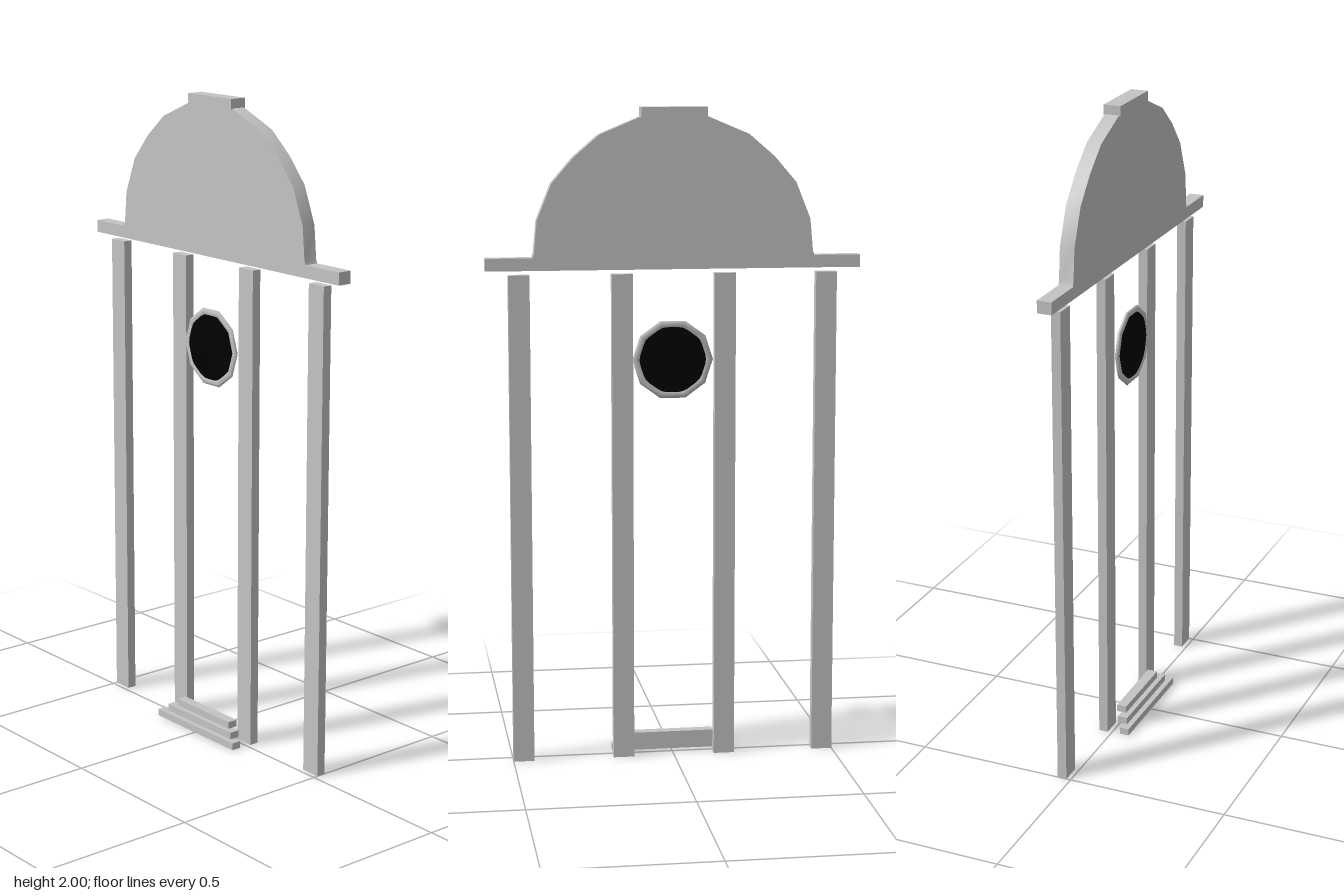
import * as THREE from 'three';
import { toCreasedNormals } from 'three/addons/utils/BufferGeometryUtils.js';

export function createModel() {
  const model = new THREE.Group();
  model.name = 'classicalPortico';

  const stone = new THREE.MeshStandardMaterial({ color: 0xc4c4c4 });
  stone.name = 'pale grey stone';
  const dark = new THREE.MeshStandardMaterial({ color: 0x000000 });
  dark.name = 'black glass';

  const add = (name, geometry, material = stone) => {
    const mesh = new THREE.Mesh(geometry, material);
    mesh.name = name;
    model.add(mesh);
    return mesh;
  };

  // Box given by half width in x, and its limits in y and z
  const block = (name, cx, halfW, y0, y1, z0, z1) => {
    const mesh = add(name, new THREE.BoxGeometry(2 * halfW, y1 - y0, z1 - z0));
    mesh.position.set(cx, (y0 + y1) / 2, (z0 + z1) / 2);
  };

  // Four flat pillars, mirrored about the centre
  for (const side of [-1, 1]) {
    block('innerPillar', side * 0.157, 0.032, 0, 1.503, -0.043, -0.014);
    block('outerPillar', side * 0.468, 0.032, 0, 1.503, -0.043, -0.014);
  }

  // Three overlapping entrance steps
  const steps = [[0.185, 0.026, 0.056], [0.156, 0.008, 0.039], [0.127, -0.009, 0.023]];
  steps.forEach(([halfW, z0, z1], i) =>
    block('step', 0, halfW, i * 0.022, (i + 1) * 0.022, z0, z1));

  // Arched gable and its ledge, in one outline
  const half = [
    [0.569, 1.517], [0.569, 1.555], [0.428, 1.555], [0.423, 1.567], [0.414, 1.665],
    [0.37, 1.775], [0.304, 1.852], [0.226, 1.919], [0.1, 1.972],
  ];
  const outline = [...half, ...half.map(([x, y]) => [-x, y]).reverse()];
  const gableShape = new THREE.Shape(outline.map(([x, y]) => new THREE.Vector2(x, y)));
  const gable = new THREE.ExtrudeGeometry(gableShape, { depth: 0.045, bevelEnabled: false });
  gable.translate(0, 0, -0.053);
  add('archedGable', toCreasedNormals(gable, 0.6));

  // Cap block on the crown of the arch
  block('capBlock', 0, 0.1, 1.969, 2, -0.056, -0.003);

  // Round window: flattened ten-sided ring around a dark pane
  const frame = new THREE.TorusGeometry(0.112, 0.012, 6, 10).scale(1, 1, 0.5);
  add('windowFrame', frame).position.set(0, 1.238, -0.011);

  const pane = new THREE.CylinderGeometry(0.102, 0.102, 0.008, 20).rotateX(Math.PI / 2);
  add('windowPane', pane, dark).position.set(0, 1.238, -0.011);

  return model;
}
